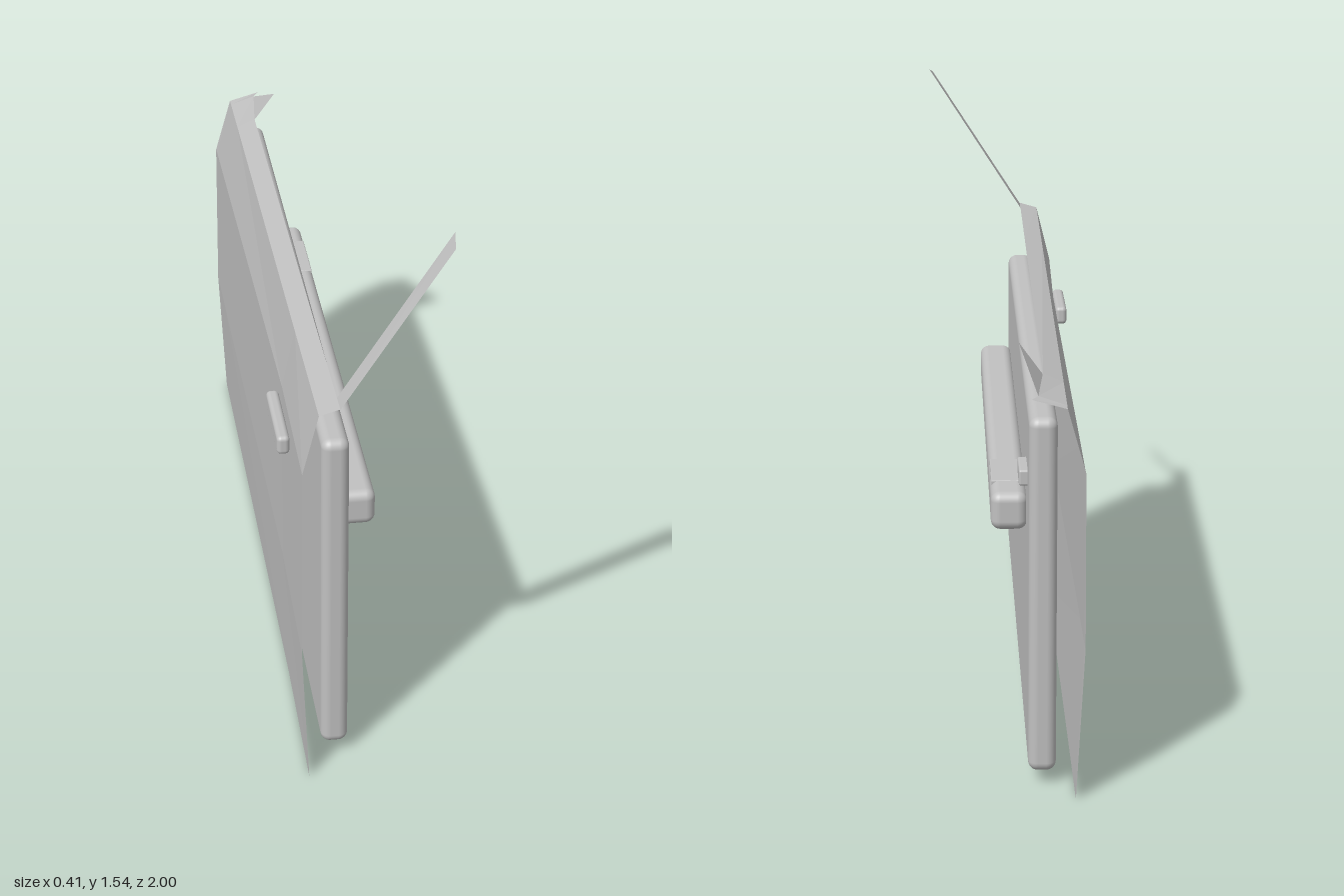
import * as THREE from 'three';
import { RoundedBoxGeometry } from 'three/addons/geometries/RoundedBoxGeometry.js';

const paint = new THREE.MeshStandardMaterial({ color: 0xc0c0c0, side: THREE.DoubleSide });
paint.name = 'plain grey';

// Skin a row of equal-length cross-sections with crisp facets
function loft(sections) {
  const pos = [];
  for (let i = 0; i < sections.length - 1; i++) {
    for (let j = 0; j < sections[i].length - 1; j++) {
      const a = sections[i][j], b = sections[i + 1][j];
      const c = sections[i + 1][j + 1], d = sections[i][j + 1];
      pos.push(...a, ...b, ...c, ...a, ...c, ...d);
    }
  }
  const g = new THREE.BufferGeometry();
  g.setAttribute('position', new THREE.Float32BufferAttribute(pos, 3));
  g.computeVertexNormals();
  return g;
}

// Rounded block given by its limits on each axis
function block(name, [x0, x1], [y0, y1], [z0, z1], radius) {
  const g = new RoundedBoxGeometry(x1 - x0, y1 - y0, z1 - z0, 4, radius);
  g.translate((x0 + x1) / 2, (y0 + y1) / 2, (z0 + z1) / 2);
  const mesh = new THREE.Mesh(g, paint);
  mesh.name = name;
  return mesh;
}

function sheet(name, sections) {
  const mesh = new THREE.Mesh(loft(sections), paint);
  mesh.name = name;
  return mesh;
}

export function createModel() {
  const door = new THREE.Group();
  door.name = 'door';

  // Outer skin with a folded sill: [z, bulge, lip x]
  const stations = [
    [1, -0.007, -0.08], [0.55, 0, -0.08], [-0.79, -0.01, -0.08],
    [-0.97, -0.011, -0.062], [-1, -0.012, -0.045],
  ];
  door.add(sheet('outerSkin', stations.map(([z, bulge, lip]) => {
    const t = (z + 1) / 2;
    return [
      [-0.153 + bulge * 0.5, 0, z],
      [-0.168 + bulge, 0.4, z],
      [-0.166 + bulge, 0.855 + 0.08 * t, z],
      [-0.132, 1.018 + 0.082 * t, z],
      [lip, 1.042 + 0.073 * t, z],
    ];
  })));

  // Leaning window pillar
  door.add(sheet('windowPillar', [
    [[-0.08, 1.113, 1], [0.19, 1.53, 1]],
    [[-0.08, 1.111, 0.94], [0.2, 1.545, 0.94]],
  ]));

  // Small triangular window corner
  const corner = new THREE.BufferGeometry().setFromPoints([
    new THREE.Vector3(-0.08, 1.048, -0.79),
    new THREE.Vector3(-0.02, 1.13, -0.79),
    new THREE.Vector3(-0.062, 1.042, -0.97),
  ]);
  corner.computeVertexNormals();
  const cornerMesh = new THREE.Mesh(corner, paint);
  cornerMesh.name = 'windowCorner';
  door.add(cornerMesh);

  // Inner trim
  door.add(
    block('trimPanel', [-0.113, -0.042], [0.035, 0.97], [-0.92, 0.92], 0.025),
    block('armrest', [-0.045, 0.048], [0.617, 0.717], [-0.73, 0.773], 0.025),
    block('switchPlate', [-0.03, 0.045], [0.703, 0.718], [-0.62, -0.43], 0.003),
    block('innerHandle', [-0.05, -0.02], [0.767, 0.808], [-0.82, -0.7], 0.006),
  );

  // Outer pull handle
  door.add(block('outerHandle', [-0.205, -0.172], [0.842, 0.894], [0.52, 0.76], 0.012));

  return door;
}
